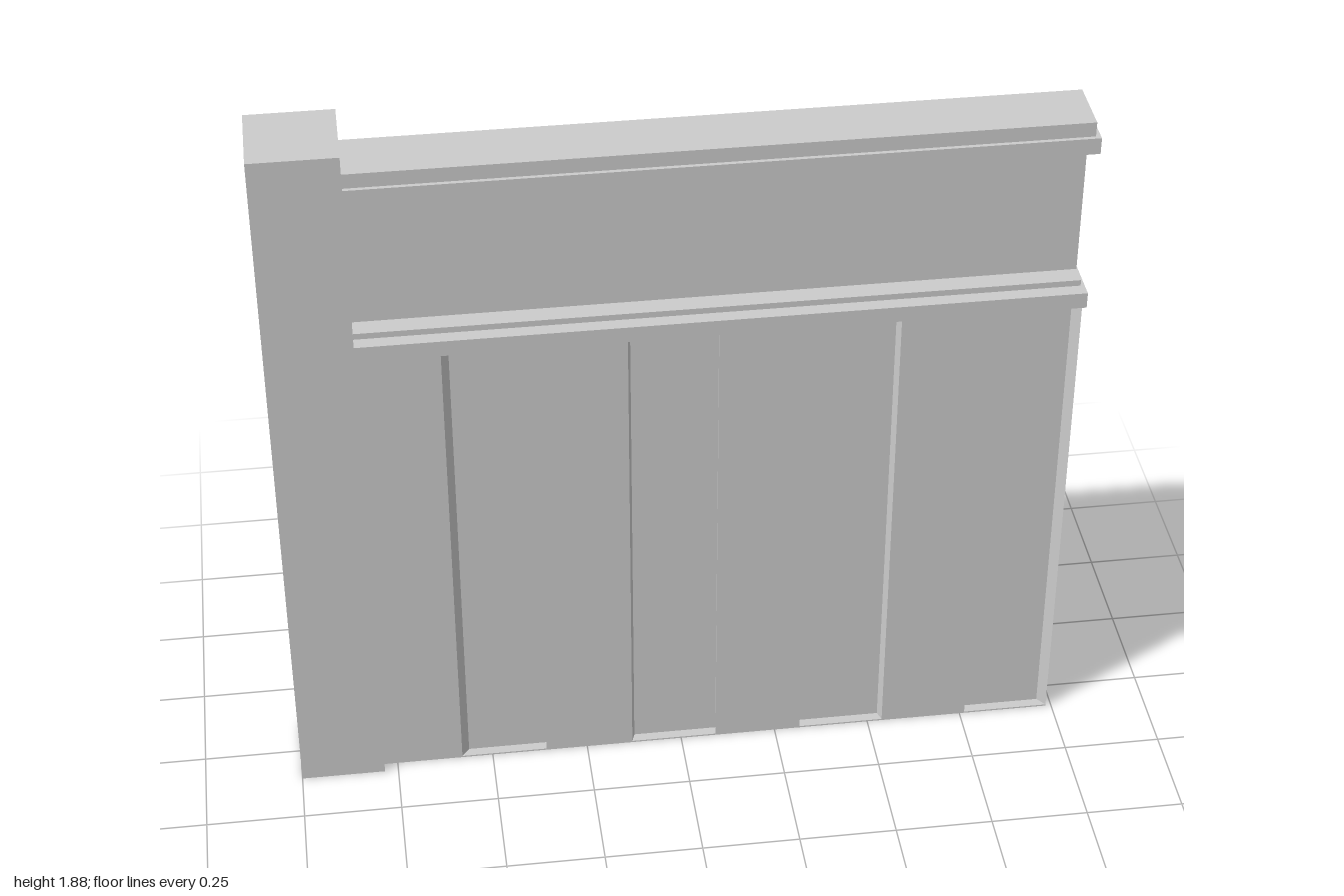
import * as THREE from 'three';

export function createModel() {
  const group = new THREE.Group();
  const material = new THREE.MeshStandardMaterial({ color: 0xcccccc, flatShading: true });
  const LEFT = -0.785, RIGHT = 0.985;

  // Box given by its limits on each axis
  const block = (name, x0, x1, y0, y1, z0, z1) => {
    const mesh = new THREE.Mesh(new THREE.BoxGeometry(x1 - x0, y1 - y0, z1 - z0), material);
    mesh.position.set((x0 + x1) / 2, (y0 + y1) / 2, (z0 + z1) / 2);
    mesh.name = name;
    group.add(mesh);
  };

  block('post', -1, LEFT, 0, 1.88, -0.108, 0.108);

  // Plank wall: raised and sunken boards on both faces, sunken floors drawn in towards the middle
  const HALF = 0.075, DEPTH = 0.025, MID = 0.2025, ZC = 0.005;
  const drawIn = (x) => MID + (x - MID) * 0.975;
  const edge = [[LEFT, HALF]];
  for (const x of [-0.58, -0.13, 0.317, 0.763]) {
    const end = x + 0.222;
    edge.push([x, HALF], [drawIn(x), HALF - DEPTH], [drawIn(end), HALF - DEPTH], [end, HALF]);
  }
  const outline = [...edge, ...edge.map(([x, y]) => [x, -y]).reverse()];
  const shape = new THREE.Shape(outline.map(([x, y]) => new THREE.Vector2(x, y)));
  const wallGeometry = new THREE.ExtrudeGeometry(shape, { depth: 1.291, bevelEnabled: false });
  wallGeometry.rotateX(-Math.PI / 2);
  const wall = new THREE.Mesh(wallGeometry, material);
  wall.position.set(0, 0.004, ZC);
  wall.name = 'plankWall';
  group.add(wall);
  block('bottomPlate', LEFT, RIGHT, 0, 0.004, ZC - HALF, ZC + HALF);

  // Middle rail with its narrow cap
  block('middleRail', LEFT, 0.995, 1.295, 1.337, -0.082, 0.085);
  block('middleRailCap', LEFT, RIGHT, 1.337, 1.353, -0.047, 0.05);

  // Thin upper panel
  const panelMaterial = material.clone();
  panelMaterial.side = THREE.DoubleSide;
  const panel = new THREE.Mesh(new THREE.PlaneGeometry(RIGHT - LEFT, 0.36), panelMaterial);
  panel.position.set((LEFT + RIGHT) / 2, 1.532, 0);
  panel.name = 'upperPanel';
  group.add(panel);

  // Stepped top rail
  block('topRailFillet', LEFT, RIGHT, 1.71, 1.727, -0.057, 0.035);
  block('topRail', LEFT, 0.997, 1.727, 1.77, -0.097, 0.075);
  block('topRailCap', LEFT, RIGHT, 1.77, 1.808, -0.088, 0.065);

  return group;
}
